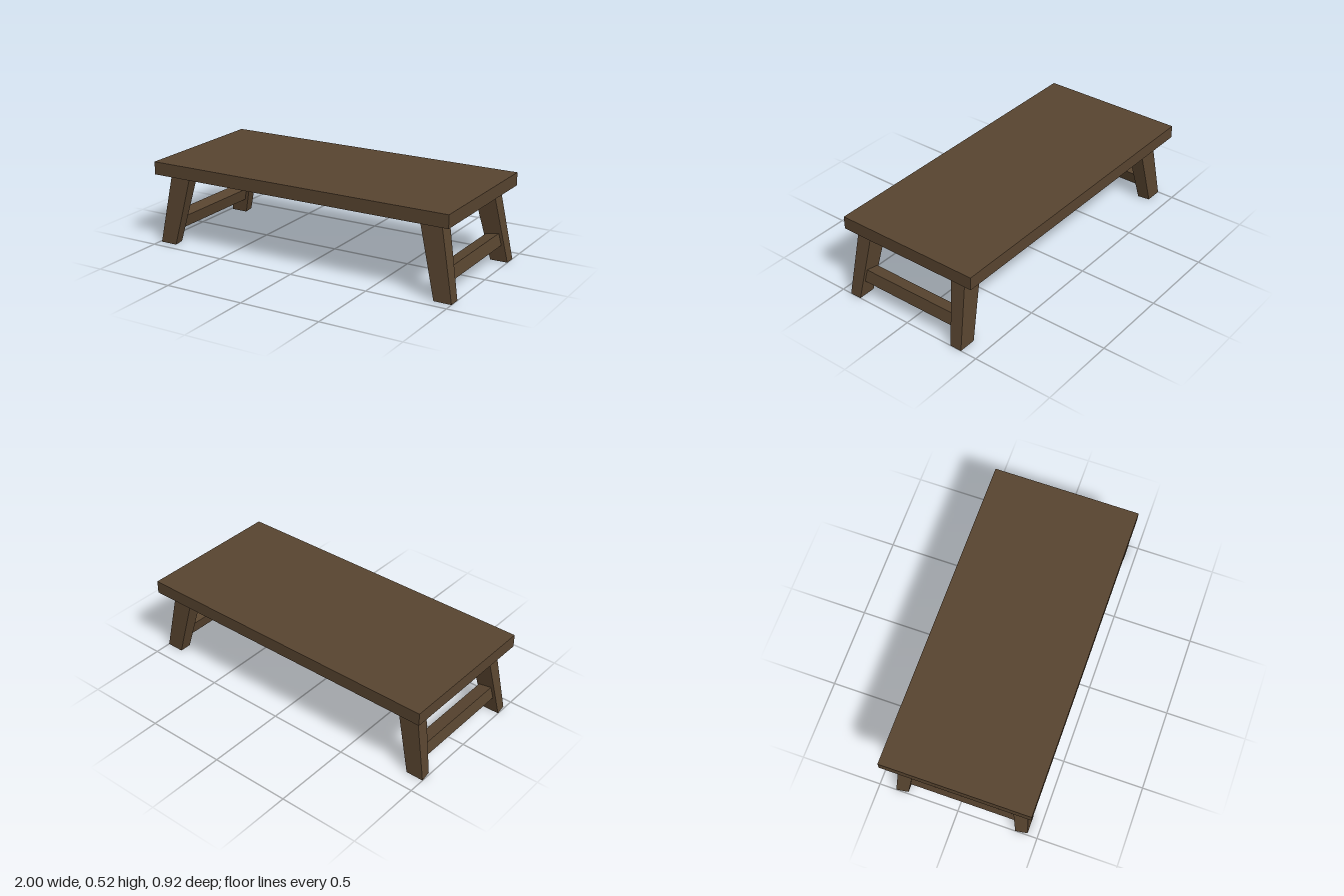
import * as THREE from 'three';

const wood = new THREE.MeshStandardMaterial({ color: 0x594530 });
wood.name = 'dark brown wood';

// Splayed, tapered leg: each end is [xMin, xMax, zMin, zMax]; skew shifts the front corners in x
function makeLeg(name, bottom, top, skew = 0) {
  const height = 0.445;
  const geo = new THREE.BoxGeometry(1, 1, 1);
  const pos = geo.attributes.position;
  for (let i = 0; i < pos.count; i++) {
    const upper = pos.getY(i) > 0;
    const [x0, x1, z0, z1] = upper ? top : bottom;
    const front = pos.getZ(i) > 0;
    const x = (pos.getX(i) > 0 ? x1 : x0) + (front ? skew : 0);
    pos.setXYZ(i, x, upper ? height : 0, front ? z1 : z0);
  }
  geo.computeVertexNormals();
  const mesh = new THREE.Mesh(geo, wood);
  mesh.name = name;
  return mesh;
}

export function createModel() {
  const table = new THREE.Group();
  table.name = 'lowTable';

  // Table top
  const top = new THREE.Mesh(new THREE.BoxGeometry(1.98, 0.08, 0.92), wood);
  top.name = 'tableTop';
  top.position.set(-0.01, 0.48, 0);
  table.add(top);

  // Legs
  const zFront = { bottom: [0.363, 0.437], top: [0.315, 0.41] };
  const zBack = { bottom: [-0.395, -0.32], top: [-0.367, -0.272] };
  for (const [end, z] of [['front', zFront], ['back', zBack]]) {
    table.add(makeLeg(end + 'LeftLeg', [0.89, 1, ...z.bottom], [0.782, 0.916, ...z.top]));
    table.add(makeLeg(end + 'RightLeg', [-1, -0.89, ...z.bottom], [-0.92, -0.785, ...z.top], 0.011));
  }

  // Stretchers between the legs, leaning with them
  for (const side of [1, -1]) {
    const bar = new THREE.Mesh(new THREE.BoxGeometry(0.085, 0.077, 0.7), wood);
    bar.name = side > 0 ? 'leftStretcher' : 'rightStretcher';
    bar.position.set(side * 0.912, 0.135, 0.02);
    bar.rotation.z = side * 0.19;
    table.add(bar);
  }
  return table;
}
